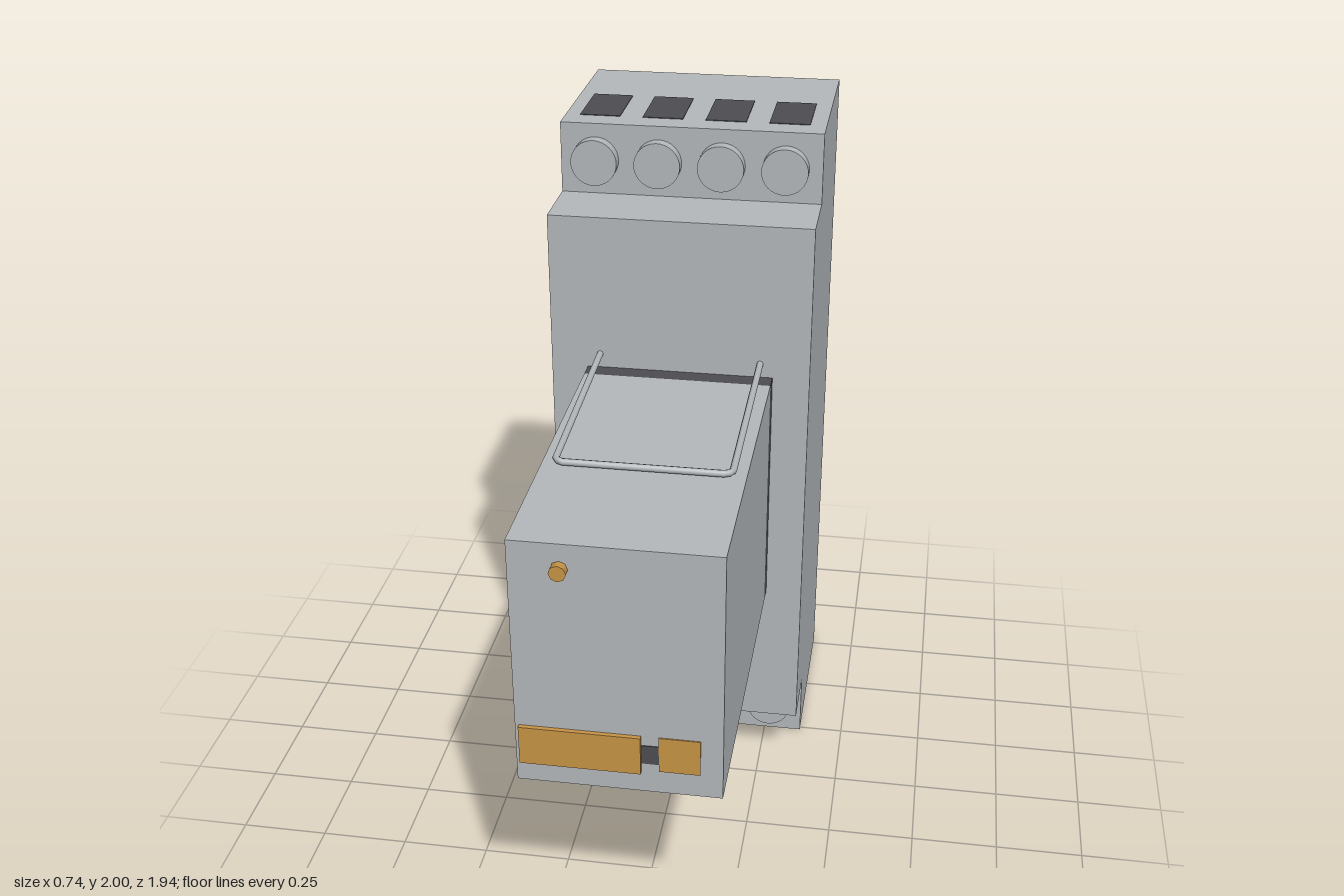
import * as THREE from 'three';

const mat = (name, color) => {
  const m = new THREE.MeshStandardMaterial({ color });
  m.name = name;
  return m;
};

export function createModel() {
  const grey = mat('light grey', 0xb4b8bb);
  const dark = mat('dark grey', 0x4e4d51);
  const orange = mat('orange', 0xc89446);
  const model = new THREE.Group();
  model.name = 'relaySocket';

  const add = (name, geometry, material) => {
    const mesh = new THREE.Mesh(geometry, material);
    mesh.name = name;
    model.add(mesh);
    return mesh;
  };
  // Box given by its minimum and maximum on each axis
  const box = (name, material, [x0, x1], [y0, y1], [z0, z1]) =>
    add(name, new THREE.BoxGeometry(x1 - x0, y1 - y0, z1 - z0), material)
      .position.set((x0 + x1) / 2, (y0 + y1) / 2, (z0 + z1) / 2);

  // Stepped socket housing, drawn as a side profile and extruded across x
  const profile = new THREE.Shape([
    [0.78, 0], [0.78, 2], [0.235, 2], [0.235, 1.8],
    [0.035, 1.8], [0.035, 0.2], [0.235, 0.2], [0.235, 0],
  ].map(([z, y]) => new THREE.Vector2(z, y)));
  const housing = new THREE.ExtrudeGeometry(profile, { depth: 0.735, bevelEnabled: false });
  housing.rotateY(Math.PI / 2).translate(-0.3685, 0, 0);
  add('housing', housing, grey);

  // Terminal screws and wire openings, four at each end
  for (let i = 0; i < 4; i++) {
    const x = -0.27 + i * 0.178;
    for (const [y, end] of [[0.103, 0], [1.897, 2]]) {
      const screw = new THREE.CylinderGeometry(0.065, 0.065, 0.035, 32).rotateX(Math.PI / 2);
      add('terminalScrew', screw, grey).position.set(x, y, -0.2175);
      box('wireOpening', dark, [x - 0.057, x + 0.057], [end - 0.002, end + 0.002], [-0.515, -0.31]);
    }
  }

  // Rail mounting ledges and release latch on the back
  box('upperLedge', grey, [-0.345, 0.34], [1.445, 1.495], [-0.97, -0.78]);
  box('lowerLedge', grey, [-0.345, 0.34], [0.513, 0.562], [-0.97, -0.78]);
  box('releaseLatch', grey, [-0.08, 0.08], [0.325, 0.513], [-0.858, -0.78]);

  // Plug-in relay on its dark base
  box('relayBase', dark, [-0.265, 0.262], [0.65, 1.355], [-0.035, 0.017]);
  box('relayBody', grey, [-0.265, 0.262], [0.65, 1.355], [0.017, 0.95]);

  // Wire retaining clips, mirrored above and below the relay
  for (const side of [1, -1]) {
    const y = (offset) => 1.0025 + side * offset;
    const path = new THREE.CurvePath();
    const points = [
      [-0.229, 0.393, -0.04], [-0.229, 0.366, 0.555], [-0.215, 0.365, 0.569],
      [0.212, 0.365, 0.569], [0.226, 0.366, 0.555], [0.226, 0.393, -0.04],
    ].map(([x, o, z]) => new THREE.Vector3(x, y(o), z));
    for (let i = 1; i < points.length; i++) path.add(new THREE.LineCurve3(points[i - 1], points[i]));
    add('retainingClip', new THREE.TubeGeometry(path, 120, 0.0095, 8, false), grey);
  }

  // Test lever, its link, the flag window and the indicator lamp on the front
  box('testLever', orange, [-0.255, 0.055], [0.71, 0.82], [0.95, 0.962]);
  box('leverLink', dark, [0.055, 0.1], [0.737, 0.792], [0.949, 0.952]);
  box('flagWindow', orange, [0.1, 0.205], [0.717, 0.82], [0.949, 0.953]);
  const lamp = new THREE.CylinderGeometry(0.022, 0.022, 0.024, 8).rotateX(Math.PI / 2);
  add('indicatorLamp', lamp, orange).position.set(-0.137, 1.286, 0.961);

  return model;
}
